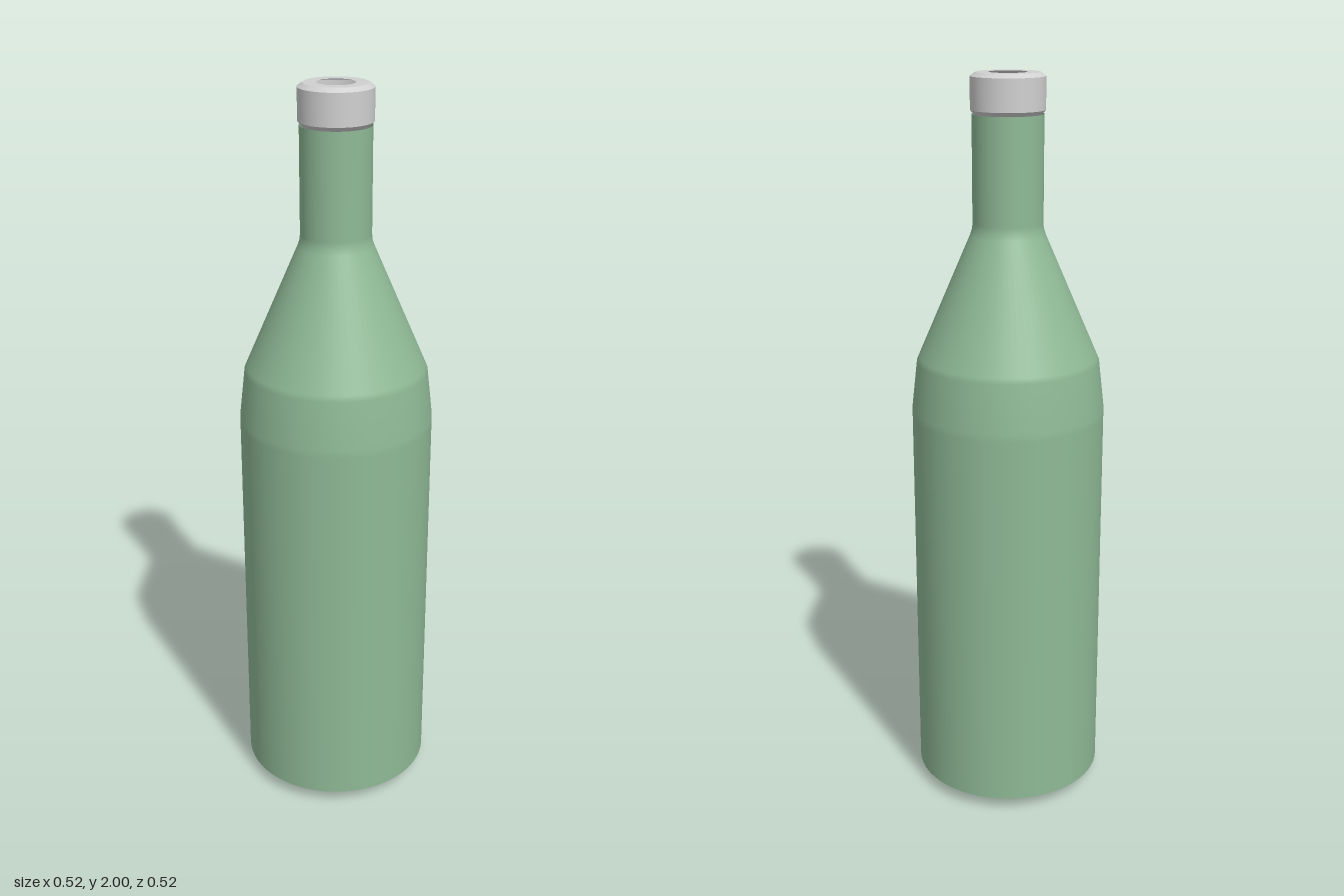
import * as THREE from 'three';

const SEGMENTS = 64;

// Open surface of revolution from [radius, height] pairs, listed bottom to top
function turned(name, points, material) {
  const profile = points.map(([r, y]) => new THREE.Vector2(r, y));
  const mesh = new THREE.Mesh(new THREE.LatheGeometry(profile, SEGMENTS), material);
  mesh.name = name;
  return mesh;
}

export function createModel() {
  const glass = new THREE.MeshStandardMaterial({ color: 0x8fb996, side: THREE.DoubleSide });
  glass.name = 'green glass';
  const metal = new THREE.MeshStandardMaterial({ color: 0xd0d0d0, side: THREE.DoubleSide });
  metal.name = 'grey metal';

  const model = new THREE.Group();
  model.name = 'bottle';

  // Glass: bevelled open base, straight body, sloping shoulder and neck
  const bottle = new THREE.Group();
  bottle.name = 'glassBody';
  bottle.add(
    turned('baseBevel', [[0.185, 0], [0.261, 0.036]], glass),
    turned('bodyAndShoulder', [
      [0.261, 0.036], [0.261, 1.1], [0.261, 1.12], [0.246, 1.25],
      [0.24, 1.264], [0.1, 1.587], [0.094, 1.605], [0.093, 1.62], [0.093, 1.897],
    ], glass),
  );

  // Collar ring around the mouth, each face kept crisp
  const collar = new THREE.Group();
  collar.name = 'collar';
  collar.add(
    turned('collarUnderside', [[0.085, 1.893], [0.097, 1.907]], metal),
    turned('collarSide', [[0.097, 1.907], [0.097, 1.99]], metal),
    turned('collarBevel', [[0.097, 1.99], [0.083, 2]], metal),
    turned('collarTop', [[0.083, 2], [0.049, 2]], metal),
  );

  model.add(bottle, collar);
  return model;
}
